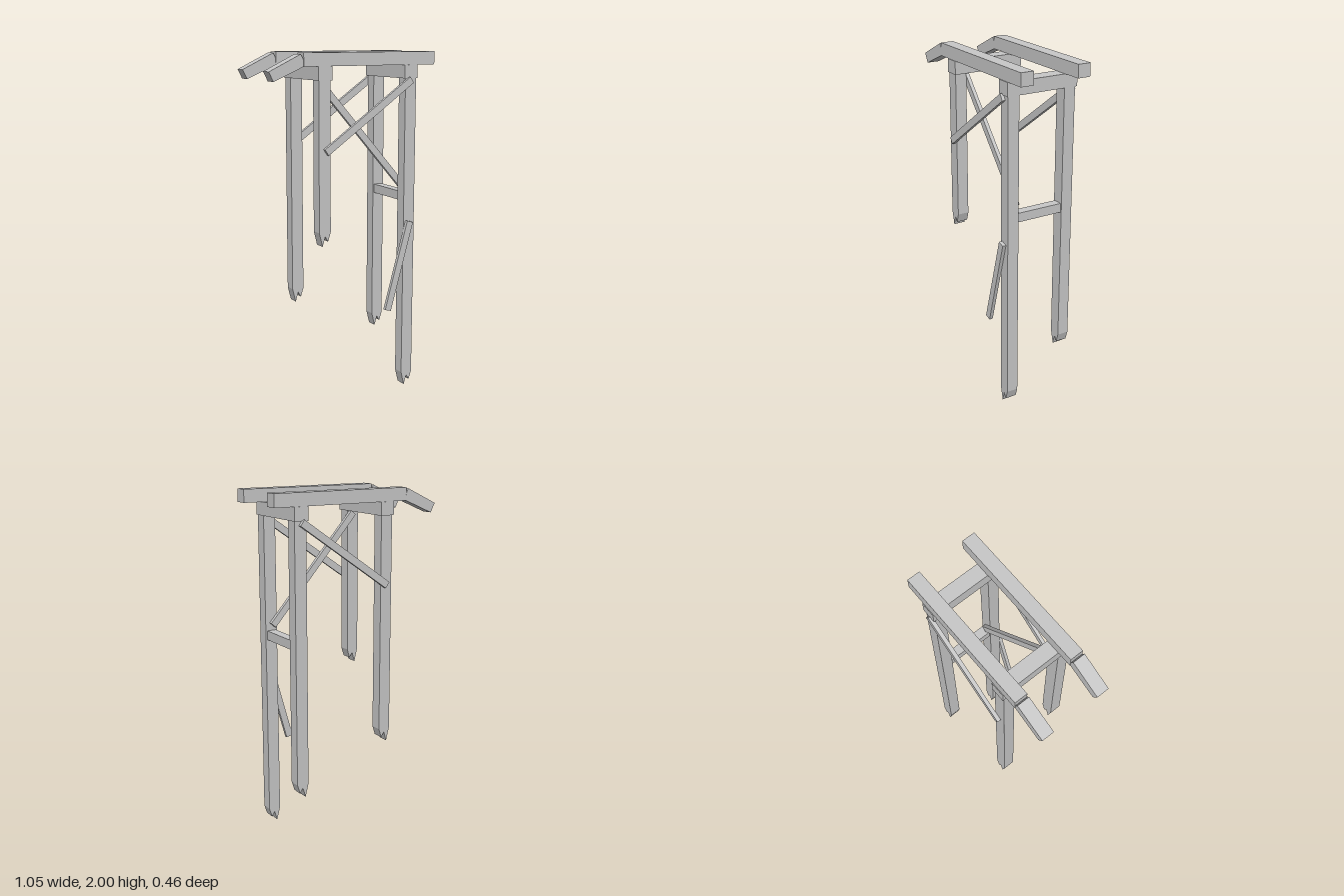
import * as THREE from 'three';

const wood = new THREE.MeshStandardMaterial({ color: 0xc8c8c8 });
wood.name = 'light grey wood';

export function createModel() {
  const model = new THREE.Group();
  model.name = 'brokenTrestle';

  const add = (name, geometry) => {
    const mesh = new THREE.Mesh(geometry, wood);
    mesh.name = name;
    model.add(mesh);
    return mesh;
  };

  // box between two corners
  const box = (name, x0, x1, y0, y1, z0, z1) =>
    add(name, new THREE.BoxGeometry(x1 - x0, y1 - y0, z1 - z0))
      .position.set((x0 + x1) / 2, (y0 + y1) / 2, (z0 + z1) / 2);

  // side outline extruded from z0 to z1
  const slab = (name, points, z0, z1) => {
    const shape = new THREE.Shape(points.map(([x, y]) => new THREE.Vector2(x, y)));
    const geometry = new THREE.ExtrudeGeometry(shape, { depth: z1 - z0, bevelEnabled: false });
    add(name, geometry).position.z = z0;
  };

  // plank between two points in the xy plane
  const plank = (name, [ax, ay], [bx, by], width, z0, z1) => {
    const length = Math.hypot(bx - ax, by - ay);
    const mesh = add(name, new THREE.BoxGeometry(length, width, z1 - z0));
    mesh.position.set((ax + bx) / 2, (ay + by) / 2, (z0 + z1) / 2);
    mesh.rotation.z = Math.atan2(by - ay, bx - ax);
  };

  // posts with splintered lower ends
  const post = (name, x, tip, z0, z1) => slab(name, [
    [x, 1.855], [x, tip + 0.08], [x + 0.02, tip], [x + 0.037, tip + 0.057],
    [x + 0.055, tip + 0.027], [x + 0.072, tip + 0.08], [x + 0.072, 1.855],
  ], z0, z1);
  post('frontRightPost', -0.229, 0.925, 0.14, 0.208);
  post('backRightPost', -0.229, 0.513, -0.21, -0.142);
  post('frontLeftPost', 0.328, 0, 0.14, 0.208);
  post('backLeftPost', 0.328, 0.278, -0.21, -0.142);

  // cross caps on the post pairs
  box('rightCap', -0.233, -0.148, 1.85, 1.926, -0.22, 0.214);
  box('leftCap', 0.319, 0.405, 1.85, 1.926, -0.22, 0.214);

  // long top beams with a snapped, drooping end
  for (const [side, z0, z1] of [['front', 0.133, 0.21], ['back', -0.216, -0.14]]) {
    box(side + 'Beam', -0.32, 0.522, 1.926, 2, z0, z1);
    slab(side + 'BrokenEnd', [
      [-0.525, 1.903], [-0.498, 1.85], [-0.32, 1.926], [-0.322, 1.965], [-0.336, 1.993],
    ], z0 + 0.002, z1 - 0.002);
  }

  // diagonal braces
  const low = [-0.19, 1.458], high = [0.362, 1.842];
  plank('frontBrace', low, high, 0.041, 0.208, 0.227);
  plank('backBrace', low, high, 0.041, -0.232, -0.21);
  plank('innerBrace', [-0.185, 1.838], [0.36, 1.222], 0.039, 0.118, 0.14);
  plank('looseBrace', [0.362, 1.018], [0.216, 0.495], 0.041, 0.208, 0.229);

  // rung between the left posts
  box('sideRung', 0.335, 0.391, 1.137, 1.19, -0.142, 0.14);

  return model;
}
